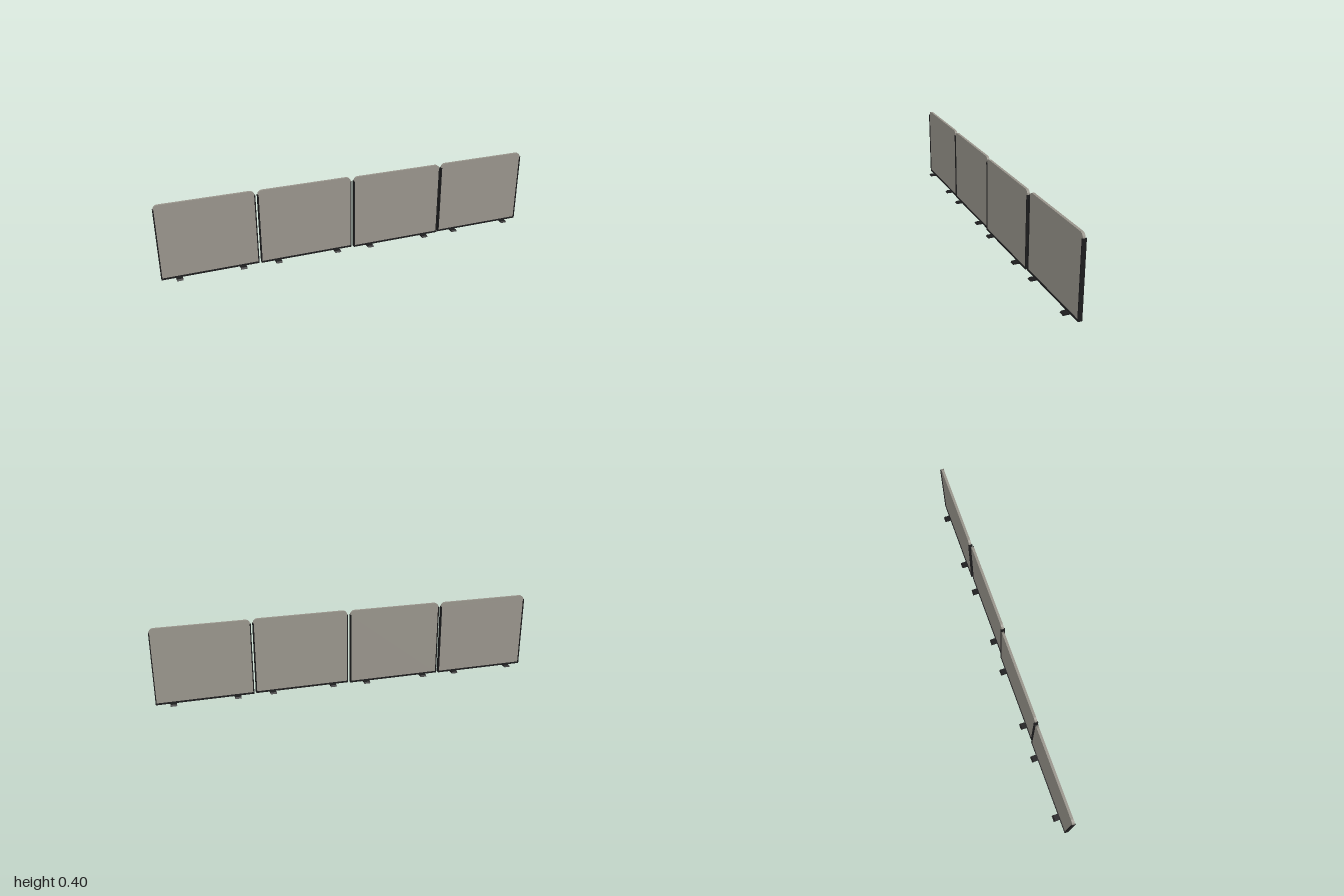
import * as THREE from 'three';

const WIDTH = 0.492, PITCH = 0.5027, TOP = 0.403, RADIUS = 0.024;
const RAIL_BOTTOM = 0.003, RAIL_TOP = 0.011, EDGE = 0.005;
const FRAME_DEPTH = 0.021, FABRIC_DEPTH = 0.0125;

// Fabric board: flat at the bottom, rounded at the two top corners
function boardGeometry() {
  const h = WIDTH / 2 - 0.002;
  const s = new THREE.Shape();
  s.moveTo(-h, RAIL_BOTTOM + 0.002);
  s.lineTo(h, RAIL_BOTTOM + 0.002);
  s.lineTo(h, TOP - RADIUS);
  s.absarc(h - RADIUS, TOP - RADIUS, RADIUS, 0, Math.PI / 2, false);
  s.lineTo(-h + RADIUS, TOP);
  s.absarc(-h + RADIUS, TOP - RADIUS, RADIUS, Math.PI / 2, Math.PI, false);
  s.closePath();
  return new THREE.ExtrudeGeometry(s, { depth: FABRIC_DEPTH, bevelEnabled: false, curveSegments: 8 })
    .translate(0, 0, -FABRIC_DEPTH / 2);
}

// Foot plate: low bar with sloped front and back ends
function footGeometry() {
  const s = new THREE.Shape();
  s.moveTo(-0.042, 0);
  s.lineTo(0.042, 0);
  s.lineTo(0.034, 0.007);
  s.lineTo(-0.034, 0.007);
  s.closePath();
  return new THREE.ExtrudeGeometry(s, { depth: 0.032, bevelEnabled: false })
    .translate(0, 0, -0.016).rotateY(Math.PI / 2);
}

export function createModel() {
  const fabric = new THREE.MeshStandardMaterial({ color: 0x98948b });
  fabric.name = 'warm grey fabric';
  const black = new THREE.MeshStandardMaterial({ color: 0x1c1c1d });
  black.name = 'black frame';

  const postHeight = TOP - RADIUS + 0.002 - RAIL_BOTTOM;
  const board = boardGeometry();
  const foot = footGeometry();
  const post = new THREE.BoxGeometry(EDGE, postHeight, FRAME_DEPTH);
  const rail = new THREE.BoxGeometry(WIDTH, RAIL_TOP - RAIL_BOTTOM, FRAME_DEPTH);

  const model = new THREE.Group();
  model.name = 'screenRow';

  // Four screens in a row, each slightly out of line
  [-0.006, -0.002, 0.006, 0.001].forEach((z, i) => {
    const screen = new THREE.Group();
    screen.name = 'screen' + (i + 1);
    screen.position.set((i - 1.5) * PITCH, 0, z);
    const add = (name, geometry, material, x = 0, y = 0) => {
      const mesh = new THREE.Mesh(geometry, material);
      mesh.name = name;
      mesh.position.set(x, y, 0);
      screen.add(mesh);
    };
    add('fabricBoard', board, fabric);
    add('bottomRail', rail, black, 0, (RAIL_BOTTOM + RAIL_TOP) / 2);
    for (const [side, label] of [[1, 'left'], [-1, 'right']]) {
      add(label + 'Post', post, black, side * (WIDTH - EDGE) / 2, RAIL_BOTTOM + postHeight / 2);
      add(label + 'Foot', foot, black, side * 0.16);
    }
    model.add(screen);
  });
  return model;
}
